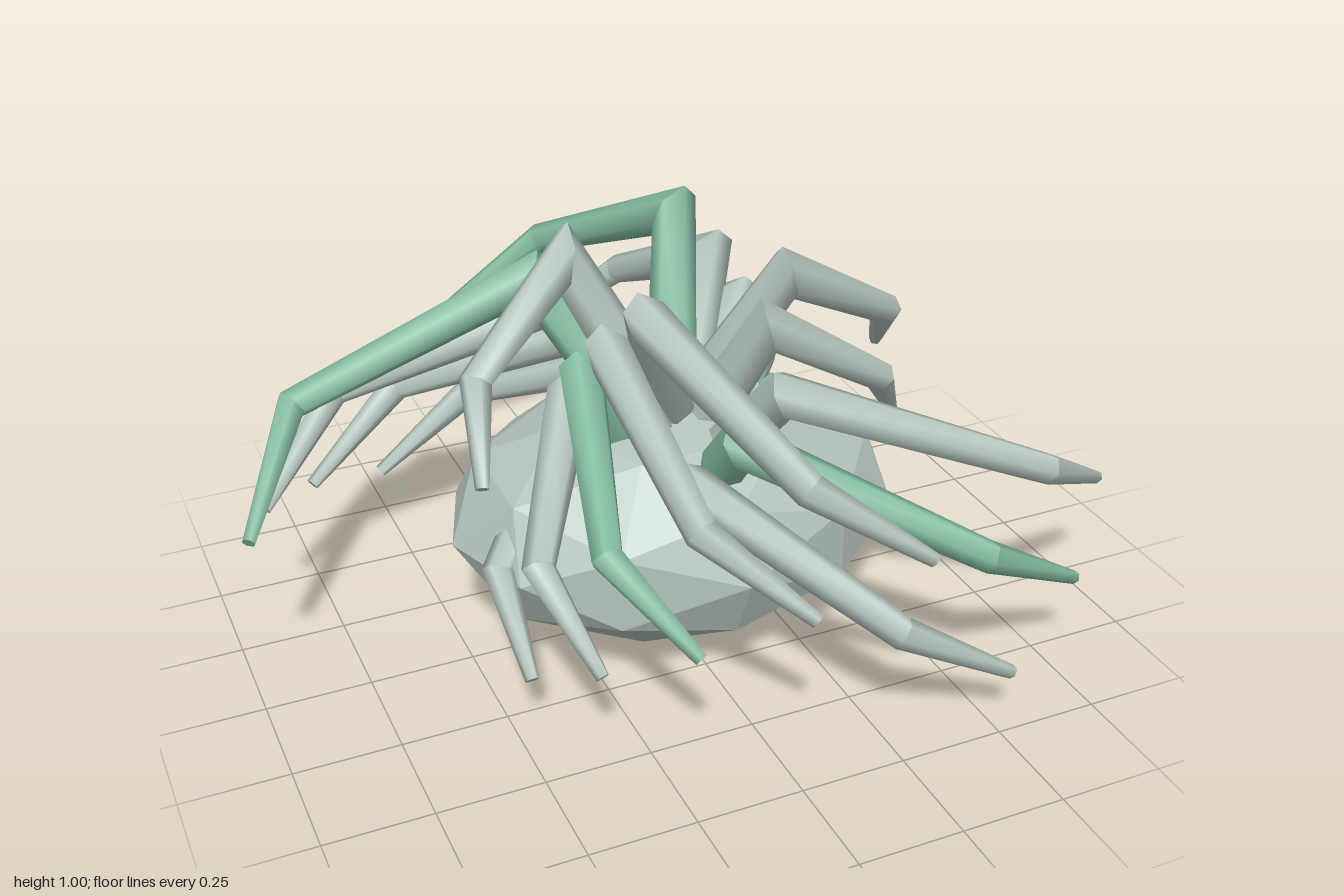
import * as THREE from 'three';
import { mergeGeometries } from 'three/addons/utils/BufferGeometryUtils.js';

const CX = 0.04, CZ = -0.04, LEGS = 21, SIDES = 6;

// Tapered tube through a few points, with mitred joints and a capped tip
function limbGeometry(points, radii) {
  const dirs = points.slice(1).map((p, k) => p.clone().sub(points[k]).normalize());
  const side = new THREE.Vector3(0, 1, 0).cross(dirs[0]).normalize();
  const up = dirs[0].clone().cross(side);
  let offsets = Array.from({ length: SIDES }, (_, j) => {
    const a = (j / SIDES) * Math.PI * 2;
    return side.clone().multiplyScalar(Math.cos(a)).addScaledVector(up, Math.sin(a));
  });
  const rings = points.map((p, k) => {
    const before = dirs[Math.max(k - 1, 0)];
    const after = dirs[Math.min(k, dirs.length - 1)];
    const n = before.clone().add(after).normalize();
    const ring = offsets.map((o) =>
      o.clone().addScaledVector(before, -o.dot(n) / before.dot(n)).multiplyScalar(radii[k]).add(p));
    const turn = new THREE.Quaternion().setFromUnitVectors(before, after);
    offsets = offsets.map((o) => o.clone().applyQuaternion(turn));
    return ring;
  });
  // Each segment keeps its own rings, so joints stay sharp
  const parts = dirs.map((_, k) => {
    const index = [];
    for (let j = 0; j < SIDES; j++) {
      const m = (j + 1) % SIDES;
      index.push(j, m, SIDES + j, m, SIDES + m, SIDES + j);
    }
    return new THREE.BufferGeometry().setFromPoints([...rings[k], ...rings[k + 1]]).setIndex(index);
  });
  const cap = [];
  for (let j = 1; j < SIDES - 1; j++) cap.push(0, j, j + 1);
  parts.push(new THREE.BufferGeometry().setFromPoints(rings[rings.length - 1]).setIndex(cap));
  parts.forEach((g) => g.computeVertexNormals());
  return mergeGeometries(parts);
}

export function createModel() {
  const pale = new THREE.MeshStandardMaterial({ color: 0xb4c4bc });
  pale.name = 'pale grey green';
  const green = new THREE.MeshStandardMaterial({ color: 0x82bb9f });
  green.name = 'soft green';
  const model = new THREE.Group();

  // Faceted, flattened body
  const bodyShape = new THREE.IcosahedronGeometry(1, 1);
  bodyShape.scale(0.56, 0.3, 0.44);
  bodyShape.computeVertexNormals();
  const body = new THREE.Mesh(bodyShape, pale);
  body.name = 'body';
  body.position.set(CX, 0.3, CZ);
  model.add(body);

  // Swirl of bent legs: reach repeats every 9, height every 5, green every 4
  const polar = (r, degrees, y) => {
    const a = THREE.MathUtils.degToRad(degrees);
    return new THREE.Vector3(CX + r * Math.cos(a), y, CZ - r * Math.sin(a));
  };
  for (let i = 0; i < LEGS; i++) {
    const angle = 45 + (i * 360) / LEGS;
    const reach = 0.57 + 0.0575 * (i % 9);
    const tipY = 0.15 + 0.1 * (i % 5);
    const points = [
      polar(0.02, angle - 48, tipY - 0.03),
      polar(0.25 + 0.014 * (i % 9), angle - 48, tipY + 0.37),
      polar(reach * 0.857, angle - 17, tipY + 0.175),
      polar(reach, angle, tipY),
    ];
    const leg = new THREE.Mesh(limbGeometry(points, [0.066, 0.052, 0.037, 0.016]), i % 4 ? pale : green);
    leg.name = 'leg' + (i + 1);
    model.add(leg);
  }
  return model;
}
